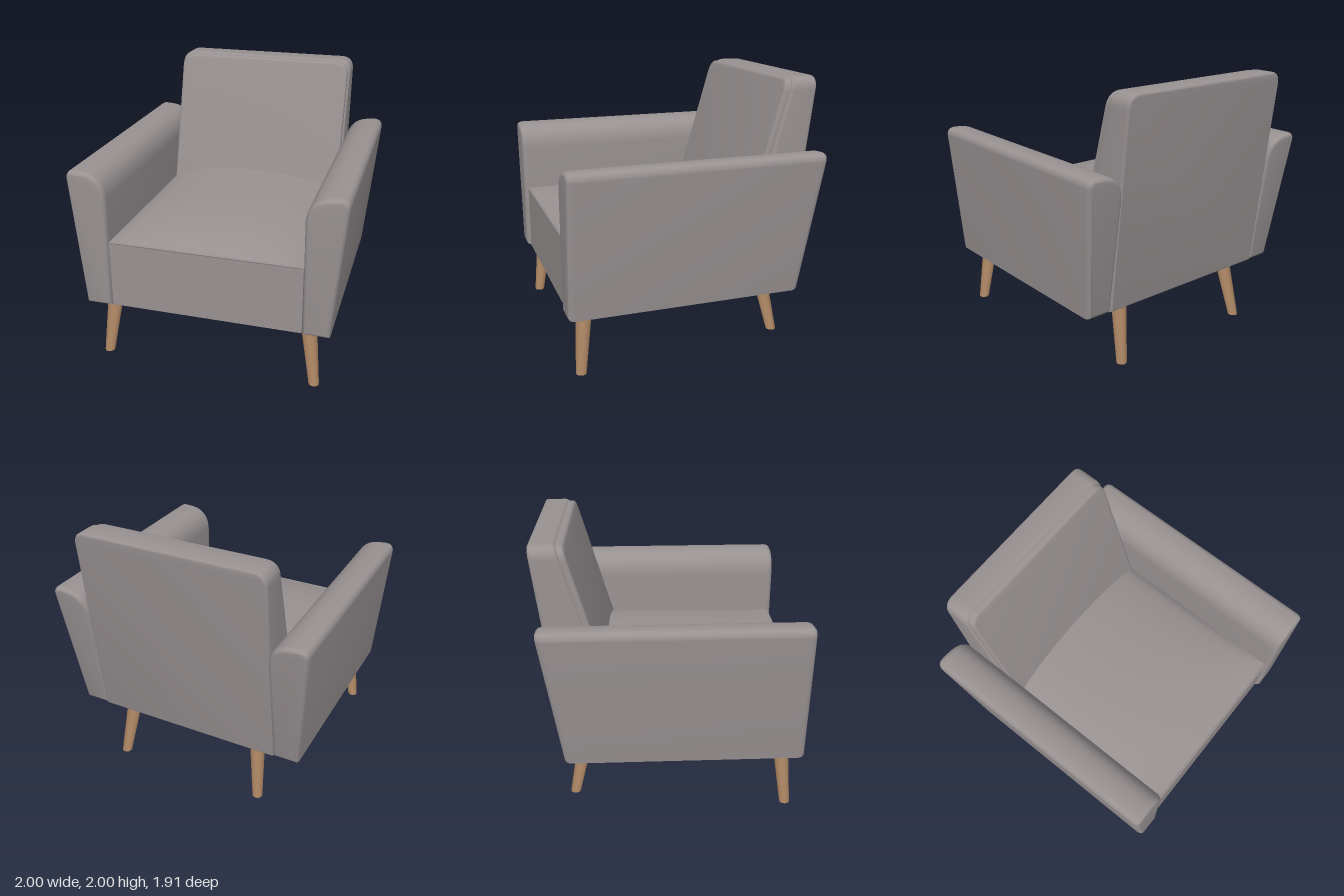
import * as THREE from 'three';
import { toCreasedNormals } from 'three/addons/utils/BufferGeometryUtils.js';

const mat = (name, color) => {
  const m = new THREE.MeshStandardMaterial({ color });
  m.name = name;
  return m;
};

// Apply a rule to every vertex of a geometry
function warp(geo, rule) {
  const p = geo.attributes.position, v = new THREE.Vector3();
  for (let i = 0; i < p.count; i++) {
    rule(v.fromBufferAttribute(p, i));
    p.setXYZ(i, v.x, v.y, v.z);
  }
  return geo;
}

// Bevelled slab whose back and front planes lean as functions of y
function slab(shape, size, thick, back, front) {
  const geo = new THREE.ExtrudeGeometry(shape, {
    depth: 1, steps: 1, curveSegments: 12,
    bevelEnabled: true, bevelSize: size, bevelThickness: thick, bevelSegments: 5,
  });
  warp(geo, (v) => {
    v.z = v.z < 0.5 ? back(v.y) + thick + v.z : front(v.y) - thick + (v.z - 1);
  });
  return toCreasedNormals(geo, 0.65);
}

// Rectangle with rounded upper corners
function roundedTop(w, y0, y1, r) {
  const s = new THREE.Shape();
  s.moveTo(-w, y0);
  s.lineTo(w, y0);
  s.lineTo(w, y1 - r);
  s.quadraticCurveTo(w, y1, w - r, y1);
  s.lineTo(-w + r, y1);
  s.quadraticCurveTo(-w, y1, -w, y1 - r);
  s.closePath();
  return s;
}

export function createModel() {
  const chair = new THREE.Group();
  chair.name = 'armchair';
  const fabric = mat('grey fabric', 0x989192);
  const wood = mat('light wood', 0xb88f6b);
  const lining = mat('dark lining', 0x3c3a3a);
  const add = (name, geo, material) => {
    const m = new THREE.Mesh(geo, material);
    m.name = name;
    chair.add(m);
    return m;
  };

  // Arms: flared outside, softly rolled inside, leaning back edge
  for (const s of [1, -1]) {
    const a = new THREE.Shape();
    a.moveTo(s * 0.745, 0.48);
    a.lineTo(s * 0.882, 0.48);
    a.lineTo(s * 0.968, 1.43);
    a.quadraticCurveTo(s * 0.97, 1.46, s * 0.94, 1.462);
    a.lineTo(s * 0.88, 1.458);
    a.bezierCurveTo(s * 0.8, 1.45, s * 0.745, 1.41, s * 0.738, 1.3);
    a.closePath();
    add(s > 0 ? 'leftArm' : 'rightArm',
      slab(a, 0.03, 0.045, (y) => -0.765 - 0.142 * (y - 0.45), () => 0.96), fabric);
  }

  // Backrest frame and the padded cushion on its front
  add('backFrame', slab(roundedTop(0.7, 0.47, 1.975, 0.08), 0.02, 0.025,
    (y) => -0.77 - 0.121 * (y - 0.45), (y) => -0.625 - 0.29 * (y - 1.5)), fabric);
  add('backCushion', slab(roundedTop(0.685, 0.9, 1.965, 0.08), 0.02, 0.02,
    (y) => -0.67 - 0.29 * (y - 1.5), (y) => -0.578 - 0.29 * (y - 1.5)), fabric);

  // Seat block with a domed top that falls away at the front
  const seat = new THREE.BoxGeometry(1.42, 0.51, 1.43, 40, 1, 30);
  seat.translate(0, 0.707, 0.215);
  warp(seat, (v) => {
    if (v.y < 0.7) return;
    const u = Math.min(1, Math.abs(v.x) / 0.71);
    const t = Math.min(1, Math.max(0, (v.z + 0.43) / 1.36));
    v.y = 0.962 + 0.122 * Math.pow(1 - u * u, 0.6) * (1 - t ** 4);
  });
  add('seat', toCreasedNormals(seat, 0.7), fabric);

  // Piping along the front edge of the seat
  const seam = new THREE.CatmullRomCurve3(
    [-0.7, -0.35, 0, 0.35, 0.7].map((x) => new THREE.Vector3(x, 0.96, 0.927)));
  add('seatPiping', new THREE.TubeGeometry(seam, 24, 0.008, 8), fabric);

  // Dark border on the underside
  const rim = new THREE.Shape([[-0.89, -0.92], [0.89, -0.92], [0.89, 0.74], [-0.89, 0.74]]
    .map(([x, y]) => new THREE.Vector2(x, y)));
  rim.holes.push(new THREE.Path([[-0.7, -0.85], [-0.7, 0.53], [0.7, 0.53], [0.7, -0.85]]
    .map(([x, y]) => new THREE.Vector2(x, y))));
  const rimGeo = new THREE.ExtrudeGeometry(rim, { depth: 0.006, bevelEnabled: false });
  rimGeo.rotateX(-Math.PI / 2).translate(0, 0.445, 0);
  add('undersideBorder', rimGeo, lining);

  // Splayed tapered legs, cut flat at the floor
  const legs = [
    { name: 'FrontLeg', top: [0.74, 0.815], foot: [0.8, 0.86] },
    { name: 'BackLeg', top: [0.537, -0.63], foot: [0.59, -0.727] },
  ];
  for (const { name, top, foot } of legs) {
    for (const s of [1, -1]) {
      const geo = new THREE.CylinderGeometry(0.058, 0.038, 0.46, 24);
      geo.translate(0, 0.23, 0);
      warp(geo, (v) => {
        const k = v.y / 0.46;
        v.x += s * (foot[0] + (top[0] - foot[0]) * k);
        v.z += foot[1] + (top[1] - foot[1]) * k;
      });
      add((s > 0 ? 'left' : 'right') + name, geo, wood);
    }
  }
  return chair;
}
